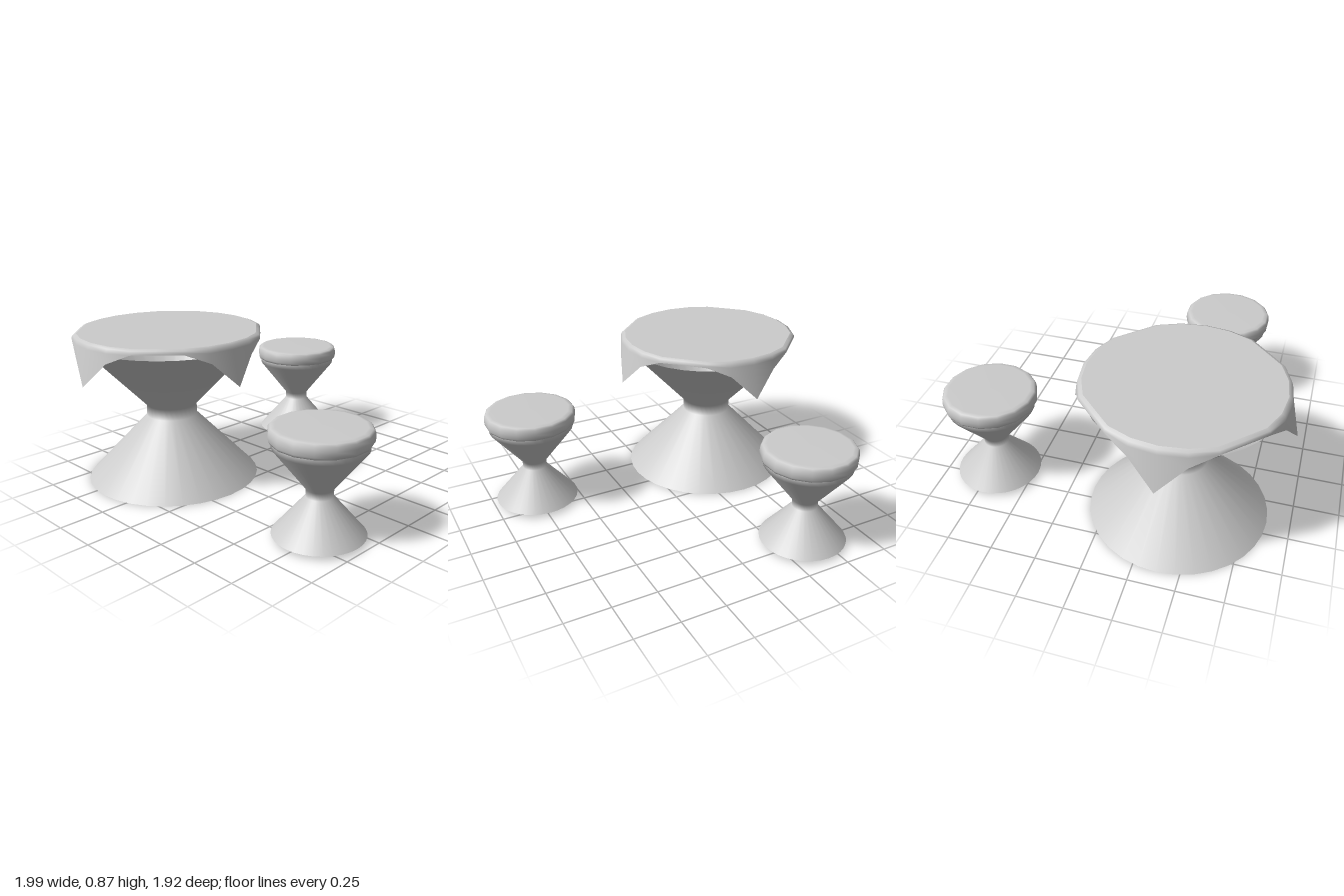
import * as THREE from 'three';

const grey = new THREE.MeshStandardMaterial({ color: 0xcccccc, side: THREE.DoubleSide });

// Revolved part from [radius, height] points, listed bottom to top
function lathe(name, points, sides, phase = 0) {
  const profile = points.map(([r, y]) => new THREE.Vector2(r, y));
  const mesh = new THREE.Mesh(new THREE.LatheGeometry(profile, sides, phase), grey);
  mesh.name = name;
  return mesh;
}

// Surface from closed rings of points; consecutive rings run inner to outer
function ringSurface(name, rings) {
  const n = rings[0].length;
  const index = [];
  for (let k = 0; k < rings.length - 1; k++) {
    for (let i = 0; i < n; i++) {
      const j = (i + 1) % n;
      const a = k * n + i, b = k * n + j, c = a + n, d = b + n;
      index.push(a, b, c, b, d, c);
    }
  }
  const g = new THREE.BufferGeometry();
  g.setAttribute('position', new THREE.Float32BufferAttribute(rings.flat(2), 3));
  g.setIndex(index);
  g.computeVertexNormals();
  const mesh = new THREE.Mesh(g, grey);
  mesh.name = name;
  return mesh;
}

// Cloth with four hanging corners; the hem repeats every quarter turn in 15 degree steps
function createTablecloth() {
  const cloth = new THREE.Group();
  cloth.name = 'tablecloth';
  const hem = [[0.58, 0.645], [0.543, 0.785], [0.535, 0.843], [0.518, 0.845], [0.535, 0.843], [0.543, 0.785]];
  const ring = (fn) => Array.from({ length: 24 }, (_, i) => {
    const a = (i / 24) * Math.PI * 2;
    const [r, y] = fn(hem[i % 6], i % 6 === 3 ? 0.967 : 1);
    return [r * Math.cos(a), y, r * Math.sin(a)];
  });
  const centre = ring(() => [0, 0.872]);
  const rim = ring((h, s) => [0.51 * s, 0.872]);
  const bend = ring((h, s) => [0.528 * s, 0.864]);
  const drop = ring(([, y], s) => [0.535 * s, Math.max(0.84, Math.min(0.855, y + 0.01))]);
  const edge = ring((h) => h);
  cloth.add(ringSurface('clothTop', [centre, rim]));
  cloth.add(ringSurface('clothSkirt', [rim, bend, drop, edge]));
  return cloth;
}

function createTable() {
  const table = new THREE.Group();
  table.name = 'table';
  table.add(lathe('tablePedestal', [[0.495, 0], [0.145, 0.365], [0.145, 0.43], [0.505, 0.81]], 32));
  table.add(createTablecloth());
  return table;
}

function createStool() {
  const stool = new THREE.Group();
  stool.name = 'stool';
  stool.add(lathe('stoolPedestal', [[0.24, 0.02], [0.07, 0.22], [0.07, 0.26], [0.24, 0.475], [0.24, 0.505]], 32));
  // Padded seat with a rounded rim
  stool.add(lathe('seatCushion', [
    [0, 0.502], [0.235, 0.502], [0.25, 0.506], [0.258, 0.52], [0.26, 0.545],
    [0.257, 0.57], [0.247, 0.581], [0.225, 0.585], [0, 0.586],
  ], 16, Math.PI / 16));
  return stool;
}

export function createModel() {
  const model = new THREE.Group();
  model.name = 'tableWithStools';

  const table = createTable();
  table.position.set(-0.415, 0, 0.378);
  model.add(table);

  for (const [x, z] of [[0.742, 0.4], [-0.415, -0.707]]) {
    const stool = createStool();
    stool.position.set(x, 0, z);
    model.add(stool);
  }
  return model;
}
